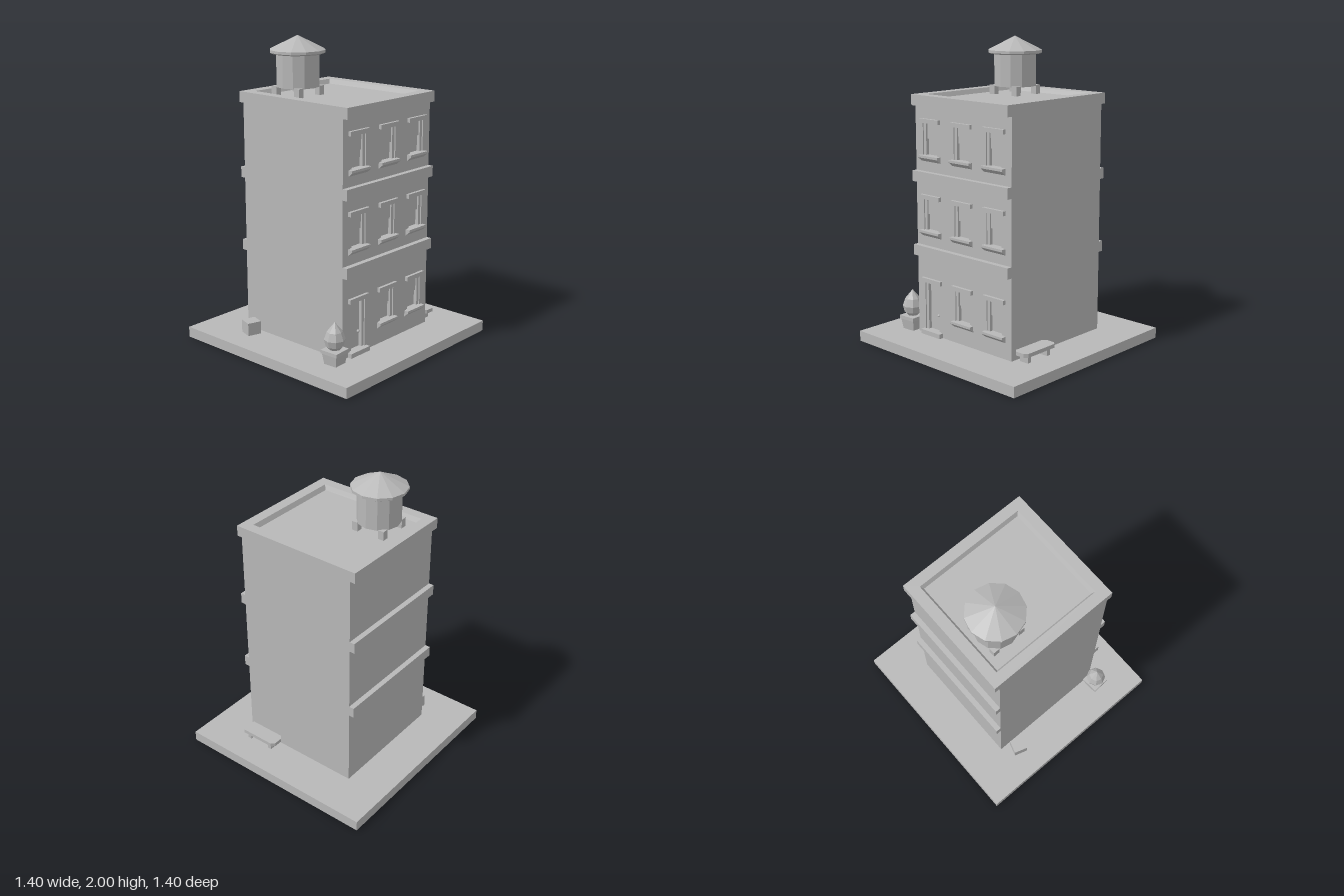
import * as THREE from 'three';

const stone = new THREE.MeshStandardMaterial({ color: 0xb8b8b8 });
stone.name = 'grey stone';

// Adds a flat-shaded mesh
function add(parent, name, geometry, x = 0, y = 0, z = 0) {
  const g = geometry.index ? geometry.toNonIndexed() : geometry;
  g.computeVertexNormals();
  const mesh = new THREE.Mesh(g, stone);
  mesh.name = name;
  mesh.position.set(x, y, z);
  parent.add(mesh);
  return mesh;
}

// Box given by its lower and upper limits
function box(parent, name, x0, x1, y0, y1, z0, z1) {
  return add(parent, name, new THREE.BoxGeometry(x1 - x0, y1 - y0, z1 - z0),
    (x0 + x1) / 2, (y0 + y1) / 2, (z0 + z1) / 2);
}

// Skin over rectangular rings [halfX, halfZ, y], capped at both ends
function rectLoft(rings) {
  const corners = ([hx, hz, y]) => [[hx, y, hz], [hx, y, -hz], [-hx, y, -hz], [-hx, y, hz]];
  const pos = [];
  const quad = (a, b, c, d) => pos.push(...a, ...b, ...c, ...a, ...c, ...d);
  const loops = rings.map(corners);
  for (let r = 0; r < loops.length - 1; r++) {
    for (let i = 0; i < 4; i++) {
      const j = (i + 1) % 4;
      quad(loops[r][i], loops[r][j], loops[r + 1][j], loops[r + 1][i]);
    }
  }
  quad(...loops[0].slice().reverse());
  quad(...loops[loops.length - 1]);
  const g = new THREE.BufferGeometry();
  g.setAttribute('position', new THREE.Float32BufferAttribute(pos, 3));
  return g;
}

function lathe(points, sides) {
  return new THREE.LatheGeometry(points.map(([r, y]) => new THREE.Vector2(r, y)), sides);
}

function polygon(points) {
  return new THREE.Shape(points.map(([x, y]) => new THREE.Vector2(x, y)));
}

const GROUND = 0.07, WALL = 0.42, PANE = 0.39;
const COLUMNS = [-0.282, 0, 0.28];
const LINTELS = [0.452, 1.008, 1.5]; // top of each row of openings
const HALF = 0.072;                  // half width of an opening

const isDoor = (row, col) => row === 0 && col === 0;
const openingBottom = (row, col) => (isDoor(row, col) ? 0.1 : LINTELS[row] - 0.235);

// Lintel, jambs and the recessed sash or door of one opening
function opening(parent, row, col) {
  const g = new THREE.Group();
  const door = isDoor(row, col);
  g.name = door ? 'door' : 'window';
  const x = COLUMNS[col], top = LINTELS[row] - 0.028, bottom = openingBottom(row, col);
  box(g, 'lintel', x - 0.088, x + 0.088, top, LINTELS[row], WALL - 0.01, 0.44);
  for (const s of [-1, 1]) {
    box(g, 'jamb', x + s * 0.061 - 0.011, x + s * 0.061 + 0.011, bottom, top, PANE - 0.005, 0.412);
  }
  if (door) {
    box(g, 'doorstep', x - 0.088, x + 0.088, GROUND, 0.1, WALL - 0.03, 0.45);
    add(g, 'doorKnob', new THREE.SphereGeometry(0.01, 8, 6), x + 0.033, 0.205, PANE + 0.01);
  } else {
    const mid = (top + bottom) / 2;
    box(g, 'upperSash', x - 0.05, x + 0.05, mid, top, PANE - 0.005, 0.401);
    // Sill with a sloping underside
    const sill = new THREE.ExtrudeGeometry(
      polygon([[0.395, bottom - 0.04], [0.42, bottom - 0.04], [0.45, bottom - 0.015], [0.45, bottom], [0.395, bottom]]),
      { depth: 0.176, bevelEnabled: false });
    sill.rotateY(-Math.PI / 2);
    add(g, 'sill', sill, x + 0.088);
  }
  parent.add(g);
}

function building() {
  const g = new THREE.Group();
  g.name = 'building';
  box(g, 'body', -WALL, WALL, GROUND, 1.58, -WALL, PANE);

  // Front wall pierced by the openings
  const wall = polygon([[-WALL, GROUND], [WALL, GROUND], [WALL, 1.58], [-WALL, 1.58]]);
  LINTELS.forEach((lintel, row) => COLUMNS.forEach((x, col) => {
    const b = openingBottom(row, col), t = lintel - 0.028;
    wall.holes.push(polygon([[x - HALF, b], [x - HALF, t], [x + HALF, t], [x + HALF, b]]));
  }));
  add(g, 'frontWall', new THREE.ExtrudeGeometry(wall, { depth: WALL - PANE, bevelEnabled: false }), 0, 0, PANE);
  LINTELS.forEach((_, row) => COLUMNS.forEach((_, col) => opening(g, row, col)));

  // Bands between storeys, front and back
  for (const y of [0.6, 1.09]) {
    box(g, 'frontBand', -WALL, WALL, y, y + 0.07, WALL, 0.455);
    box(g, 'backBand', -WALL, WALL, y, y + 0.07, -0.455, -WALL);
  }
  // Parapet with a sloped inner edge around the sunken roof
  add(g, 'parapetAndRoof', rectLoft([
    [WALL, 0.455, 1.58], [WALL, 0.455, 1.65], [0.35, 0.383, 1.65], [0.335, 0.367, 1.62]]));
  return g;
}

function waterTank() {
  const g = new THREE.Group();
  g.name = 'waterTank';
  for (const x of [-0.097, 0.097]) {
    for (const z of [-0.097, 0.097]) {
      box(g, 'tankLeg', x - 0.021, x + 0.021, 1.62, 1.68, z - 0.021, z + 0.021);
    }
  }
  add(g, 'tankBarrel', new THREE.CylinderGeometry(0.14, 0.14, 0.215, 12), 0, 1.7825, 0);
  add(g, 'tankRoof', lathe([[0, 1.885], [0.165, 1.885], [0.18, 1.893], [0.18, 1.91], [0, 2]], 12));
  g.position.set(-0.14, 0, -0.21);
  g.rotation.y = 0.02;
  return g;
}

function plant() {
  const g = new THREE.Group();
  g.name = 'pottedShrub';
  add(g, 'pot', rectLoft([
    [0.046, 0.046, GROUND], [0.056, 0.056, 0.14], [0.062, 0.062, 0.14], [0.062, 0.062, 0.163]]));
  add(g, 'foliage', lathe([[0, 0.16], [0.035, 0.165], [0.056, 0.187], [0.067, 0.23], [0.05, 0.28], [0, 0.34]], 8));
  g.position.set(-0.487, 0, 0.416);
  g.rotation.y = 0.06;
  return g;
}

function bench() {
  const g = new THREE.Group();
  g.name = 'bench';
  const w = 0.052, l = 0.141, c = 0.022;
  const seat = new THREE.ExtrudeGeometry(polygon([
    [w, -l + c], [w, l - c], [w - c, l], [-w + c, l], [-w, l - c], [-w, -l + c], [-w + c, -l], [w - c, -l]]),
  { depth: 0.025, bevelEnabled: false });
  seat.rotateX(-Math.PI / 2);
  add(g, 'benchSeat', seat, 0, 0.117, 0);
  for (const z of [-0.087, 0.09]) box(g, 'benchLeg', -0.032, 0.032, GROUND, 0.117, z - 0.014, z + 0.014);
  g.position.set(0.482, 0, 0.272);
  return g;
}

export function createModel() {
  const model = new THREE.Group();
  model.name = 'apartmentBuilding';
  box(model, 'pavement', -0.7, 0.7, 0, GROUND, -0.7, 0.7);
  model.add(building(), waterTank(), plant(), bench());
  const crate = box(model, 'crate', -0.535, -0.443, GROUND, 0.155, -0.364, -0.272);
  crate.rotation.y = -0.3;
  return model;
}
